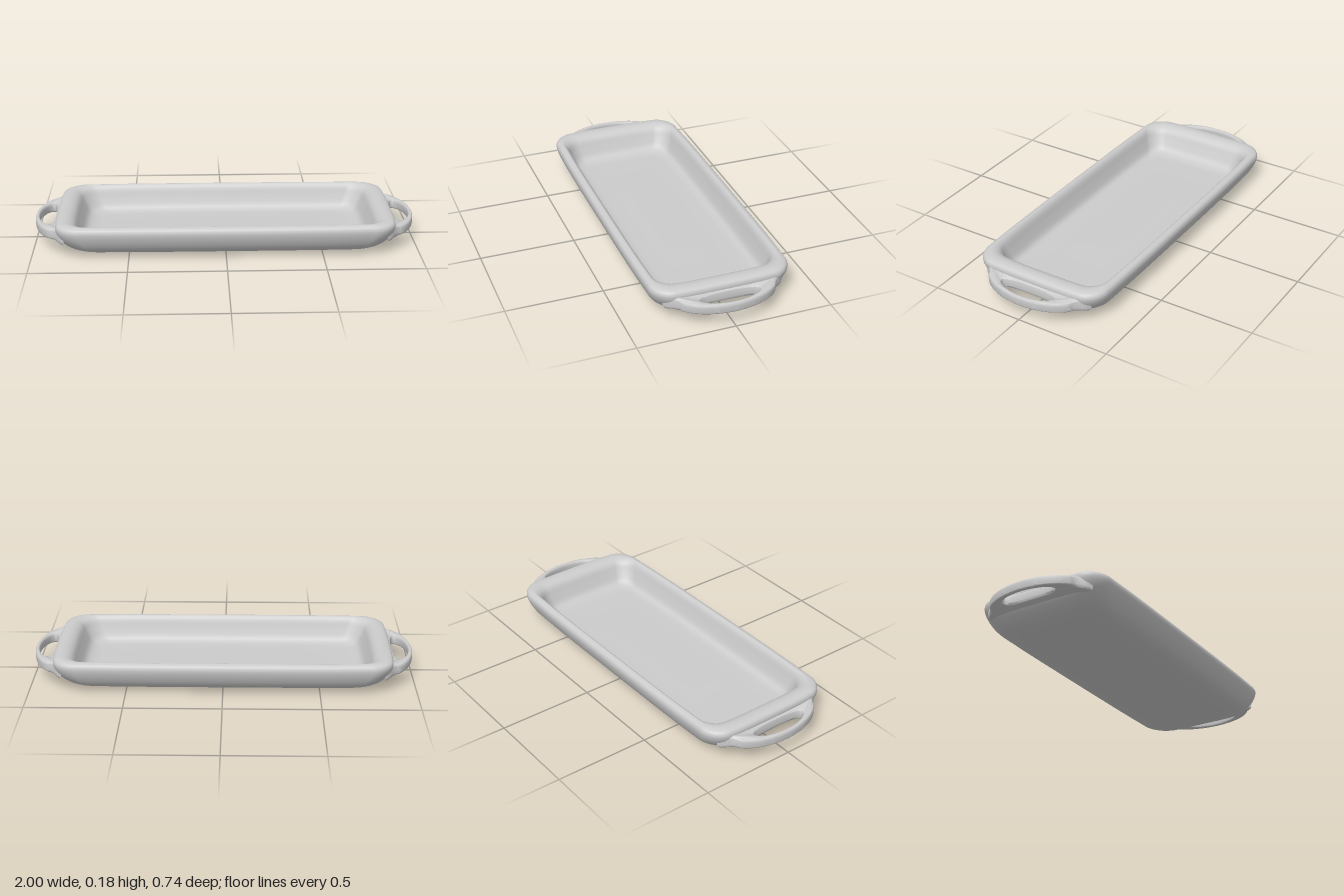
import * as THREE from 'three';
import { mergeVertices, toCreasedNormals } from 'three/addons/utils/BufferGeometryUtils.js';

const material = new THREE.MeshStandardMaterial({ color: 0xcccccc });

// Rounded rectangle loop with slightly bowed sides
function ring(hx, hz, radius, y) {
  const r = Math.min(radius, hx, hz), pts = [], arc = 8, side = 8;
  const corners = [[1, 1], [-1, 1], [-1, -1], [1, -1]];
  const outline = [];
  corners.forEach(([sx, sz], k) => {
    for (let i = 0; i <= arc; i++) {
      const a = (k + i / arc) * Math.PI / 2;
      outline.push([sx * (hx - r) + r * Math.cos(a), sz * (hz - r) + r * Math.sin(a)]);
    }
  });
  outline.forEach((p, i) => {
    const q = outline[(i + 1) % outline.length];
    const steps = (i + 1) % (arc + 1) === 0 ? side : 1;
    for (let s = 0; s < steps; s++) {
      const x = p[0] + (q[0] - p[0]) * s / steps, z = p[1] + (q[1] - p[1]) * s / steps;
      const bowZ = hx ? 1 - 0.035 * (x / hx) ** 4 : 1;
      const bowX = hz ? 1 - 0.025 * (z / hz) ** 4 : 1;
      pts.push([x * bowX, y, z * bowZ]);
    }
  });
  return pts;
}

// Skin of rings from the underside, over the rim, down to the inner floor
function dishGeometry() {
  const profile = [ // half length, half width, height
    [0, 0, 0], [0.4, 0.1, 0], [0.7, 0.2, 0.004], [0.785, 0.28, 0.018], [0.83, 0.325, 0.045],
    [0.868, 0.357, 0.095], [0.882, 0.37, 0.143], [0.875, 0.364, 0.165], [0.85, 0.345, 0.175],
    [0.815, 0.332, 0.173], [0.785, 0.318, 0.155], [0.762, 0.303, 0.11], [0.735, 0.283, 0.062],
    [0.7, 0.26, 0.045], [0.62, 0.2, 0.04], [0.3, 0.1, 0.04], [0, 0, 0.04],
  ];
  const curve = new THREE.CatmullRomCurve3(profile.map(p => new THREE.Vector3(...p)));
  const rows = 64, pos = [], index = [];
  let n = 0;
  for (let i = 0; i <= rows; i++) {
    const p = curve.getPoint(i / rows);
    const end = i === 0 || i === rows;
    const loop = ring(end ? 0 : Math.max(p.x, 0), end ? 0 : Math.max(p.y, 0),
      THREE.MathUtils.lerp(0.13, 0.05, i / rows), Math.max(p.z, 0));
    n = loop.length;
    loop.forEach(v => pos.push(...v));
  }
  for (let i = 0; i < rows; i++) {
    for (let j = 0; j < n; j++) {
      const a = i * n + j, b = i * n + (j + 1) % n;
      index.push(a, a + n, b, b, a + n, b + n);
    }
  }
  const g = new THREE.BufferGeometry();
  g.setAttribute('position', new THREE.Float32BufferAttribute(pos, 3));
  g.setIndex(index);
  g.computeVertexNormals();
  return g;
}

// Bow-shaped loop handle, thickening where it joins the wall
function handleGeometry() {
  const s = new THREE.Shape();
  s.moveTo(0.83, -0.31);
  s.bezierCurveTo(0.87, -0.29, 0.87, -0.255, 0.91, -0.242);
  s.bezierCurveTo(0.965, -0.2, 1, -0.1, 1, 0);
  s.bezierCurveTo(1, 0.1, 0.965, 0.2, 0.91, 0.242);
  s.bezierCurveTo(0.87, 0.255, 0.87, 0.29, 0.83, 0.31);
  s.closePath();
  const hole = new THREE.Path();
  hole.moveTo(0.893, 0);
  hole.bezierCurveTo(0.893, 0.08, 0.896, 0.135, 0.912, 0.15);
  hole.bezierCurveTo(0.94, 0.165, 0.978, 0.09, 0.978, 0);
  hole.bezierCurveTo(0.978, -0.09, 0.94, -0.165, 0.912, -0.15);
  hole.bezierCurveTo(0.896, -0.135, 0.893, -0.08, 0.893, 0);
  s.holes.push(hole);

  let g = new THREE.ExtrudeGeometry(s, {
    depth: 0.024, bevelEnabled: true, bevelThickness: 0.014, bevelSize: 0.008,
    bevelOffset: -0.008, bevelSegments: 4, curveSegments: 16,
  });
  g.rotateX(Math.PI / 2).translate(0, 0.012, 0);
  const p = g.attributes.position;
  for (let i = 0; i < p.count; i++) {
    const root = THREE.MathUtils.clamp((0.925 - p.getX(i)) / 0.08, 0, 1);
    p.setY(i, 0.108 + p.getY(i) * (1 + 0.45 * root * root));
  }
  g.deleteAttribute('uv');
  g.deleteAttribute('normal');
  g = mergeVertices(g, 1e-5);
  return toCreasedNormals(g, 0.8);
}

export function createModel() {
  const model = new THREE.Group();
  model.name = 'servingDish';

  const dish = new THREE.Mesh(dishGeometry(), material);
  dish.name = 'dish';
  model.add(dish);

  // One handle at each end
  const geometry = handleGeometry();
  ['leftHandle', 'rightHandle'].forEach((name, i) => {
    const handle = new THREE.Mesh(geometry, material);
    handle.name = name;
    handle.rotation.y = i * Math.PI;
    model.add(handle);
  });
  return model;
}
